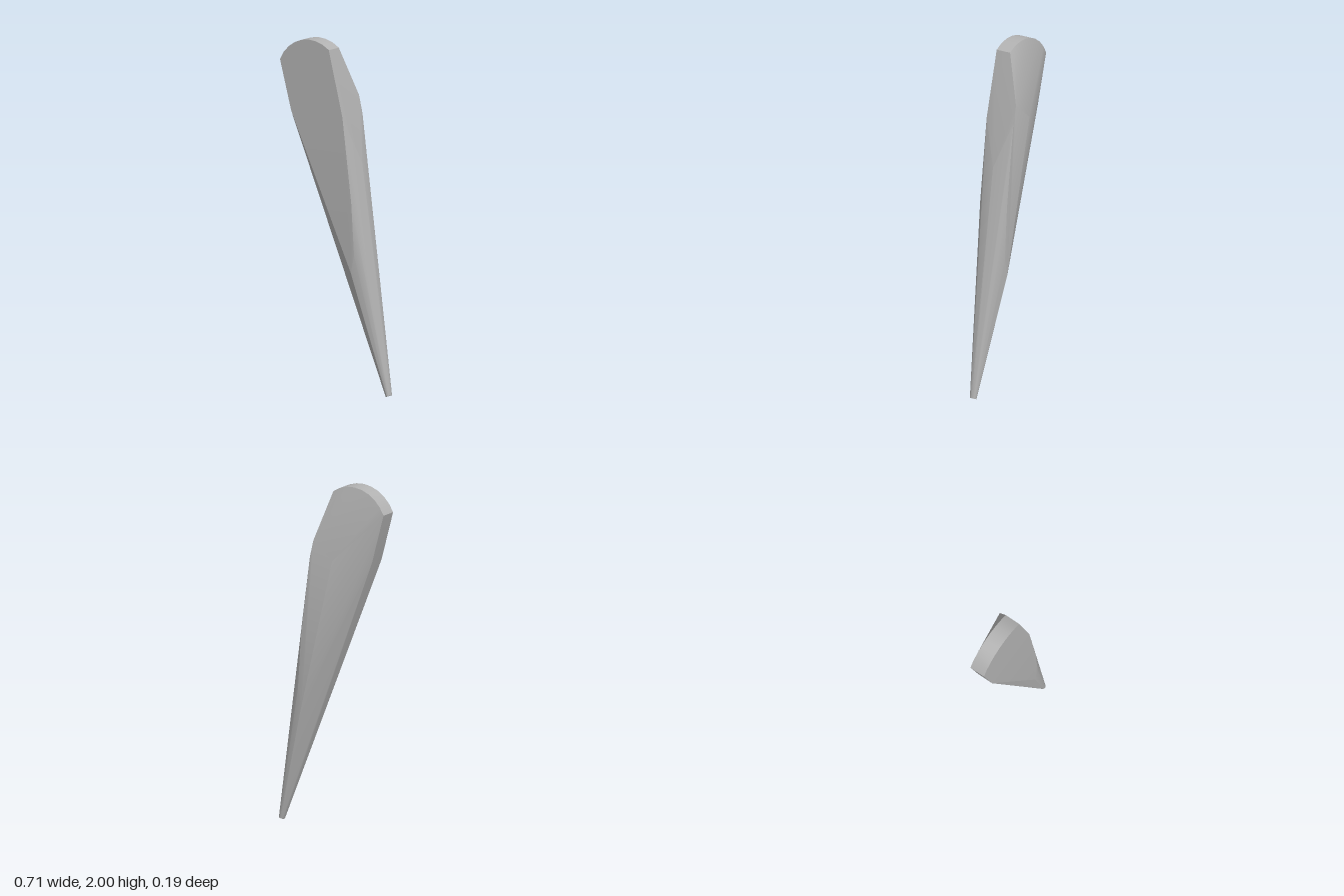
import * as THREE from 'three';
import { ConvexGeometry } from 'three/addons/geometries/ConvexGeometry.js';
import { toCreasedNormals } from 'three/addons/utils/BufferGeometryUtils.js';

const D = 0.093; // half thickness

export function createModel() {
  const group = new THREE.Group();
  group.name = 'taperedSpike';
  const gray = new THREE.MeshStandardMaterial({ color: 0xb2b2b2 });
  gray.name = 'stone gray';

  const points = [];
  const add = (z, list) => list.forEach(([x, y]) => points.push(new THREE.Vector3(x, y, z)));

  // Rounded top end, from the middle plane to the front
  const arc = [];
  const start = Math.atan2(1.956 - 1.77, 0.135);
  const end = Math.atan2(1.865 - 1.77, -0.207);
  for (let i = 0; i <= 8; i++) {
    const a = start + (end - start) * i / 8;
    arc.push([-0.15 + 0.23 * Math.cos(a), 1.77 + 0.23 * Math.sin(a)]);
  }
  add(D, arc);
  add(0, arc);

  // Front plate and left shoulder
  add(D, [[-0.28, 1.58], [0.14, 0.7], [0.163, 0.8], [0.143, 1.1], [0.081, 1.58]]);
  add(0, [[-0.28, 1.58]]);

  // Back plate, below the bevel
  add(-D, [[0.057, 1.68], [-0.072, 1.58], [0.14, 0.7], [0.163, 0.8], [0.143, 1.1], [0.081, 1.58]]);

  // Bulge of the right edge
  add(0, [[0.149, 1.32]]);

  // Small round tip, tilted with the spike's axis
  for (let i = 0; i < 16; i++) {
    const a = i / 16 * Math.PI * 2;
    points.push(new THREE.Vector3(0.338 + 0.016 * Math.cos(a), 0.006 + 0.006 * Math.cos(a), 0.02 * Math.sin(a)));
  }

  const blade = new THREE.Mesh(toCreasedNormals(new ConvexGeometry(points), 0.4), gray);
  blade.name = 'spikeBody';
  group.add(blade);
  return group;
}
